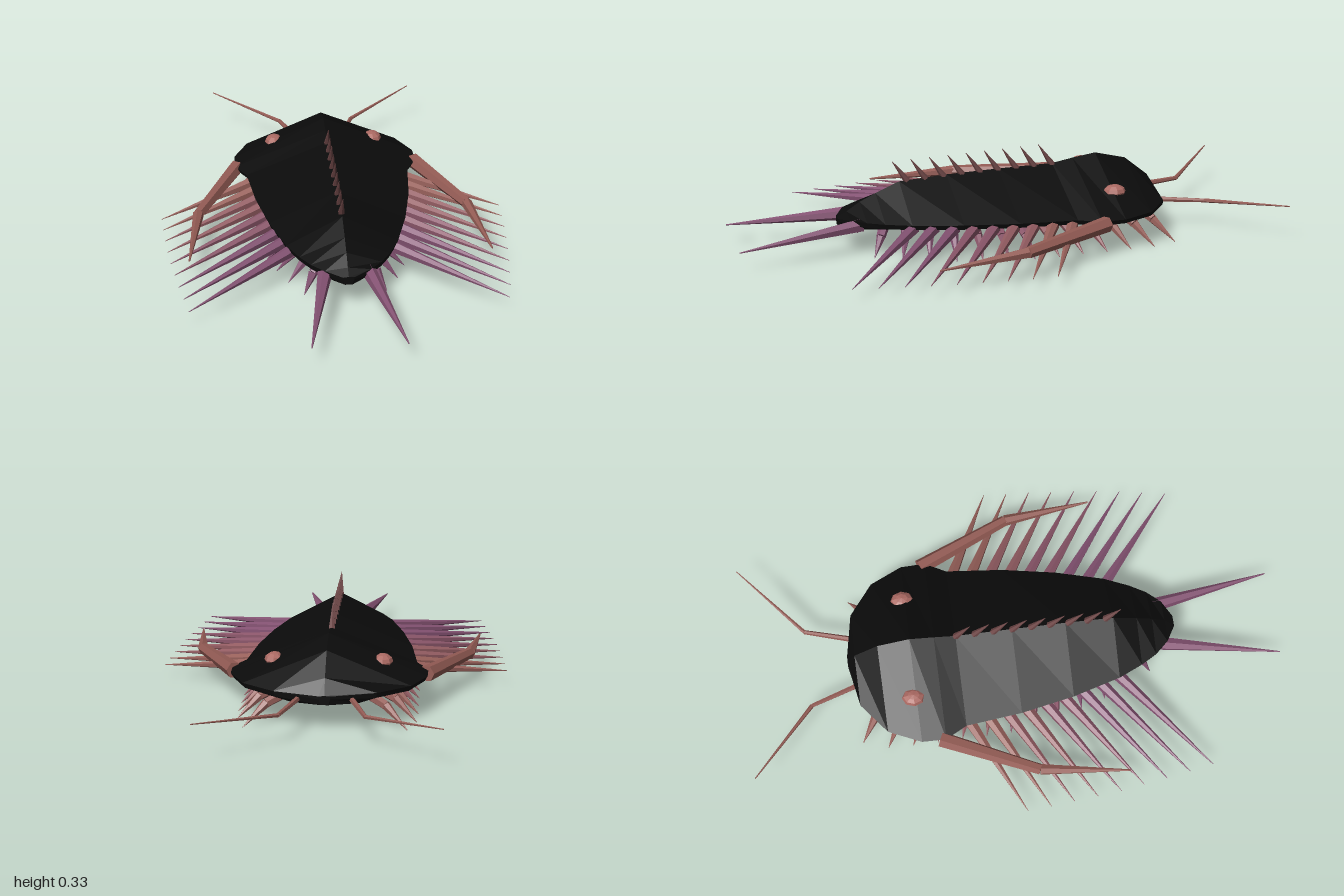
import * as THREE from 'three';

const mat = (name, color, extra = {}) =>
  new THREE.MeshStandardMaterial({ name, color, flatShading: true, ...extra });

// Tapered limb through several points, one radius per point
function limb(name, points, radii, material) {
  const group = new THREE.Group();
  group.name = name;
  for (let i = 0; i < points.length - 1; i++) {
    const a = new THREE.Vector3(...points[i]);
    const b = new THREE.Vector3(...points[i + 1]);
    const dir = b.clone().sub(a);
    const geo = new THREE.CylinderGeometry(radii[i + 1], radii[i], dir.length(), 6);
    const mesh = new THREE.Mesh(geo, material);
    mesh.name = name + 'Segment';
    mesh.position.copy(a).add(b).multiplyScalar(0.5);
    mesh.quaternion.setFromUnitVectors(new THREE.Vector3(0, 1, 0), dir.normalize());
    group.add(mesh);
  }
  return group;
}

// Body stations from head to tail: z, half width, ridge height
const stations = [
  [-0.62, 0.02, 0.125], [-0.59, 0.18, 0.18], [-0.5, 0.295, 0.253], [-0.38, 0.35, 0.283],
  [-0.29, 0.352, 0.27], [-0.21, 0.31, 0.256], [0, 0.288, 0.253], [0.2, 0.25, 0.248],
  [0.38, 0.2, 0.237], [0.47, 0.16, 0.2], [0.53, 0.125, 0.172], [0.58, 0.08, 0.14], [0.615, 0.02, 0.122],
];

function halfWidth(z) {
  for (let i = 0; i < stations.length - 1; i++) {
    const [z0, w0] = stations[i], [z1, w1] = stations[i + 1];
    if (z >= z0 && z <= z1) return w0 + (w1 - w0) * (z - z0) / (z1 - z0);
  }
  return 0;
}

// Loft of roof-shaped sections with a flat belly
function bodyGeometry() {
  const pos = [], idx = [], n = 7;
  for (const [z, w, h] of stations) {
    const rim = Math.min(0.13, h - 0.002);
    pos.push(0, h, z, w, rim, z, w * 0.97, 0.112, z, w * 0.64, 0.092, z,
      -w * 0.64, 0.092, z, -w * 0.97, 0.112, z, -w, rim, z);
  }
  for (let s = 0; s < stations.length - 1; s++) {
    for (let k = 0; k < n; k++) {
      const a = s * n + k, b = s * n + (k + 1) % n;
      idx.push(a, b, a + n, b, b + n, a + n);
    }
  }
  const last = (stations.length - 1) * n;
  for (let k = 1; k < n - 1; k++) {
    idx.push(0, k + 1, k, last, last + k, last + k + 1);
  }
  const geo = new THREE.BufferGeometry();
  geo.setAttribute('position', new THREE.Float32BufferAttribute(pos, 3));
  geo.setIndex(idx);
  geo.computeVertexNormals();
  return geo;
}

export function createModel() {
  const model = new THREE.Group();
  model.name = 'armouredSeaArthropod';
  const black = mat('shellBlack', 0x0b0b0b, { side: THREE.DoubleSide });
  const rose = mat('eyeRose', 0xac6a63);
  const brown = mat('feelerBrown', 0x935b54);
  const spineBrown = mat('spineBrown', 0x6e4747);
  const limbTones = [
    mat('limbRust', 0x97605a), mat('limbMauve', 0x935c62),
    mat('limbPlum', 0x8b566a), mat('limbPurple', 0x845272),
  ];
  const tone = (t) => limbTones[Math.min(3, Math.floor(t * 4))];

  const body = new THREE.Mesh(bodyGeometry(), black);
  body.name = 'shell';
  model.add(body);

  // Spines along the ridge, leaning toward the tail
  for (let i = 0; i < 9; i++) {
    const z = -0.21 + i * 0.07;
    const y = 0.25 - i * 0.0015;
    model.add(limb('ridgeSpine', [[0, y, z], [0, y + 0.083 - i * 0.0007, z + 0.055]], [0.013, 0.001], spineBrown));
  }

  for (const s of [1, -1]) {
    const side = s > 0 ? 'left' : 'right';

    const eye = new THREE.Mesh(new THREE.SphereGeometry(1, 8, 6), rose);
    eye.name = side + 'Eye';
    eye.scale.set(0.036, 0.026, 0.044);
    eye.position.set(s * 0.192, 0.187, -0.39);
    model.add(eye);

    model.add(limb(side + 'Antenna',
      [[s * 0.085, 0.108, -0.57], [s * 0.147, 0.102, -0.77], [s * 0.41, 0.14, -1]],
      [0.011, 0.008, 0.002], brown));

    model.add(limb(side + 'CheekSpine',
      [[s * 0.345, 0.118, -0.31], [s * 0.503, 0.098, 0.04], [s * 0.545, 0.08, 0.37]],
      [0.03, 0.021, 0.003], brown));

    model.add(limb(side + 'TailSpine',
      [[s * 0.075, 0.108, 0.54], [s * 0.16, 0.076, 1]], [0.027, 0.002], limbTones[3]));

    // Long swept side branches
    for (let i = 0; i < 9; i++) {
      const t = i / 8;
      const zBase = -0.2 + t * 0.57;
      const tip = [s * (0.64 - 0.03 * t - 0.055 * t * t), 0.05, -0.025 + t * 0.705];
      model.add(limb(side + 'SideBranch',
        [[s * (halfWidth(zBase) - 0.03), 0.11, zBase], tip], [0.023, 0.001], tone(t)));
    }

    // Walking legs fanning out below the body
    for (let i = 0; i < 13; i++) {
      const t = i / 12;
      const z = -0.6 + t * 1.11;
      const x = Math.min(0.32, halfWidth(z) + 0.03) - (t > 0.5 ? (t - 0.5) * 0.04 : 0);
      const tipX = i === 0 ? 0.285 : x;
      const baseX = Math.max(0.07, tipX - 0.17);
      const lean = -0.11 + t * 0.17;
      model.add(limb(side + 'WalkingLeg',
        [[s * baseX, 0.115, z - lean], [s * (tipX * 0.55 + baseX * 0.45), 0.07, z - lean * 0.55], [s * tipX, 0, z]],
        [0.022, 0.017, 0.001], tone(t)));
    }
  }
  return model;
}
